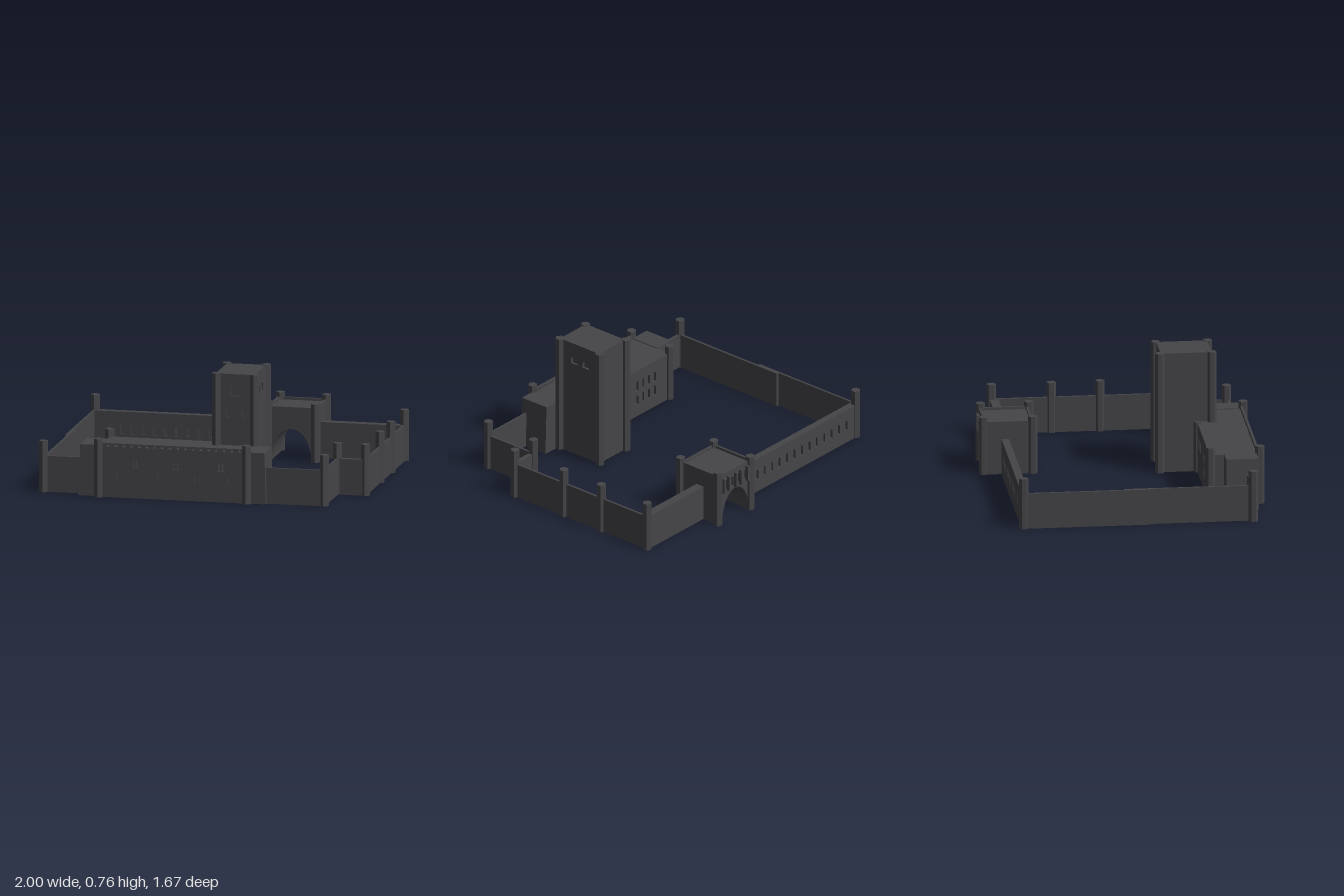
import * as THREE from 'three';

export function createModel() {
  const model = new THREE.Group();
  const stone = new THREE.MeshStandardMaterial({ color: 0x454549 });
  stone.name = 'dark stone';

  function add(name, geometry, x = 0, y = 0, z = 0, parent = model) {
    const mesh = new THREE.Mesh(geometry, stone);
    mesh.name = name;
    mesh.position.set(x, y, z);
    parent.add(mesh);
    return mesh;
  }

  // Box given by its x, y and z limits
  function block(name, x0, x1, y0, y1, z0, z1) {
    return add(name, new THREE.BoxGeometry(x1 - x0, y1 - y0, z1 - z0),
      (x0 + x1) / 2, (y0 + y1) / 2, (z0 + z1) / 2);
  }

  // Hexagonal corner turret
  function post(name, x, z, h) {
    const g = new THREE.CylinderGeometry(0.029, 0.029, h, 6).toNonIndexed();
    g.computeVertexNormals();
    add(name, g, x, h / 2, z);
  }

  // Upright slab extruded along z, outline given by points
  function slab(name, points, z0, depth, holes = []) {
    const shape = new THREE.Shape(points.map(([x, y]) => new THREE.Vector2(x, y)));
    shape.holes = holes;
    return add(name, new THREE.ExtrudeGeometry(shape,
      { depth, bevelEnabled: false, curveSegments: 6 }), 0, 0, z0);
  }
  const rect = (x0, x1, h) => [[x0, 0], [x1, 0], [x1, h], [x0, h]];

  // Window opening centred on x, from y0 to y1
  function opening(x, y0, y1, w, arched = false) {
    const p = new THREE.Path(), r = w / 2;
    p.moveTo(x - r, y0);
    p.lineTo(x + r, y0);
    if (arched) {
      p.lineTo(x + r, y1 - r);
      p.absarc(x, y1 - r, r, 0, Math.PI, false);
    } else {
      p.lineTo(x + r, y1);
      p.lineTo(x - r, y1);
    }
    p.closePath();
    return p;
  }

  // Curtain walls
  const wallH = 0.225;
  [
    ['backRightWall', 0.45, 0.97, -0.685, -0.63],
    ['rightWall', 0.964, 0.979, -0.67, 0.39],
    ['rightJogWall', 0.795, 0.97, 0.38, 0.41],
    ['rightFrontWall', 0.79, 0.804, 0.39, 0.755],
    ['frontRightWall', 0.42, 0.795, 0.758, 0.772],
    ['frontLeftWall', -0.975, -0.72, 0.712, 0.728],
    ['leftBackWall', -0.985, -0.971, -0.69, 0.09],
    ['leftFrontWall', -0.971, -0.956, -0.07, 0.725],
    ['backLeftWallCore', -0.975, 0.15, -0.688, -0.672],
  ].forEach(([name, x0, x1, z0, z1]) => block(name, x0, x1, 0, wallH, z0, z1));

  // Arcaded faces of the long back wall
  for (const z of [-0.703, -0.672]) {
    const holes = [];
    for (let i = 0; i < 14; i++) holes.push(opening(-0.87 + i * 0.07, 0.085, 0.15, 0.024, true));
    slab('backLeftWallFace', rect(-0.975, 0.15, wallH), z, 0.015, holes);
  }

  // Curtain wall turrets
  [[-0.975, -0.69], [0.972, -0.675], [0.972, -0.305], [0.972, -0.005], [0.972, 0.39],
    [0.797, 0.39], [0.797, 0.755], [-0.975, 0.725]]
    .forEach(([x, z]) => post('wallTurret', x, z, 0.32));

  // Hall
  const roof = 0.315;
  block('hallBody', -0.61, 0.08, 0, roof, 0.51, 0.785);
  block('hallTowerSide', 0.08, 0.32, 0, roof, 0.575, 0.785);
  slab('hallLeftWing', [[-0.745, 0], [-0.6, 0], [-0.6, 0.32], [-0.73, 0.32]], 0.585, 0.2);
  slab('hallRightWing', [[0.31, 0], [0.44, 0], [0.43, 0.32], [0.31, 0.32]], 0.6, 0.198);

  // Hall front with paired windows, slits and a pierced parapet
  const front = [];
  for (const x of [-0.377, -0.122, 0.163]) {
    front.push(opening(x - 0.011, 0.19, 0.24, 0.016), opening(x + 0.011, 0.19, 0.24, 0.016));
  }
  for (const x of [-0.495, -0.24, -0.005, 0.205]) front.push(opening(x, 0.115, 0.155, 0.008));
  for (let i = 0; i < 18; i++) {
    const x = -0.55 + i * 0.0485;
    front.push(new THREE.Path([[x - 0.012, 0.317], [x + 0.012, 0.317], [x, 0.332]]
      .map(([a, b]) => new THREE.Vector2(a, b))));
  }
  slab('hallFront', rect(-0.61, 0.32, 0.338), 0.785, 0.016, front);

  // Hall courtyard face with arched windows
  const court = [];
  for (const x of [0.015, -0.035, -0.085, -0.135, -0.3, -0.355, -0.41, -0.465]) {
    court.push(opening(x, 0.175, 0.24, 0.026, true));
    if (x < -0.2) court.push(opening(x, 0.08, 0.145, 0.026, true));
  }
  slab('hallCourtFace', rect(-0.61, 0.08, roof), 0.495, 0.015, court);
  [[-0.61, 0.5], [-0.61, 0.805], [0.32, 0.805], [0.07, 0.5]]
    .forEach(([x, z]) => post('hallTurret', x, z, z === 0.5 && x > 0 ? 0.32 : 0.365));

  // Tower
  const towerH = 0.76;
  block('towerBody', 0.075, 0.305, 0, towerH, 0.27, 0.57);
  slab('towerFront', rect(0.075, 0.32, towerH), 0.57, 0.015, [
    opening(0.195, 0.622, 0.685, 0.056),
    opening(0.15, 0.49, 0.528, 0.012),
    opening(0.246, 0.49, 0.528, 0.012),
  ]);
  const side = slab('towerRightFace', rect(-0.57, -0.27, towerH), 0, 0.015,
    [0.47, 0.377].map((z) => opening(-z, 0.62, 0.672, 0.05, true)));
  side.rotation.y = Math.PI / 2;
  side.position.x = 0.305;
  [[0.072, 0.265], [0.32, 0.265], [0.08, 0.585], [0.32, 0.585]]
    .forEach(([x, z]) => post('towerTurret', x, z, towerH + 0.004));

  // Gatehouse with an arched passage running front to back
  const arch = [[0.145, 0], [0.175, 0]];
  for (let i = 1; i < 16; i++) {
    const a = Math.PI * (1 - i / 16);
    arch.push([0.3 + 0.125 * Math.cos(a), 0.2 * Math.sin(a)]);
  }
  arch.push([0.425, 0], [0.455, 0], [0.455, 0.32], [0.145, 0.32]);
  slab('gatehouseBody', arch, -0.795, 0.29);
  slab('gatehouseBackFace', arch, -0.81, 0.015,
    [0.21, 0.27, 0.33, 0.39].map((x) => opening(x, 0.22, 0.285, 0.026, true)));

  // Gatehouse parapet rim, back ribs and turrets
  block('gatehouseRim', 0.145, 0.455, 0.32, 0.336, -0.81, -0.795);
  block('gatehouseRim', 0.145, 0.455, 0.32, 0.336, -0.52, -0.505);
  block('gatehouseRim', 0.145, 0.16, 0.32, 0.336, -0.795, -0.52);
  block('gatehouseRim', 0.44, 0.455, 0.32, 0.336, -0.795, -0.52);
  for (const x of [0.195, 0.258, 0.305, 0.37, 0.418]) {
    block('gatehouseRib', x - 0.008, x + 0.008, 0.21, 0.31, -0.83, -0.81);
  }
  [[0.162, -0.812], [0.452, -0.8], [0.152, -0.51], [0.452, -0.5]]
    .forEach(([x, z]) => post('gatehouseTurret', x, z, 0.365));

  return model;
}
